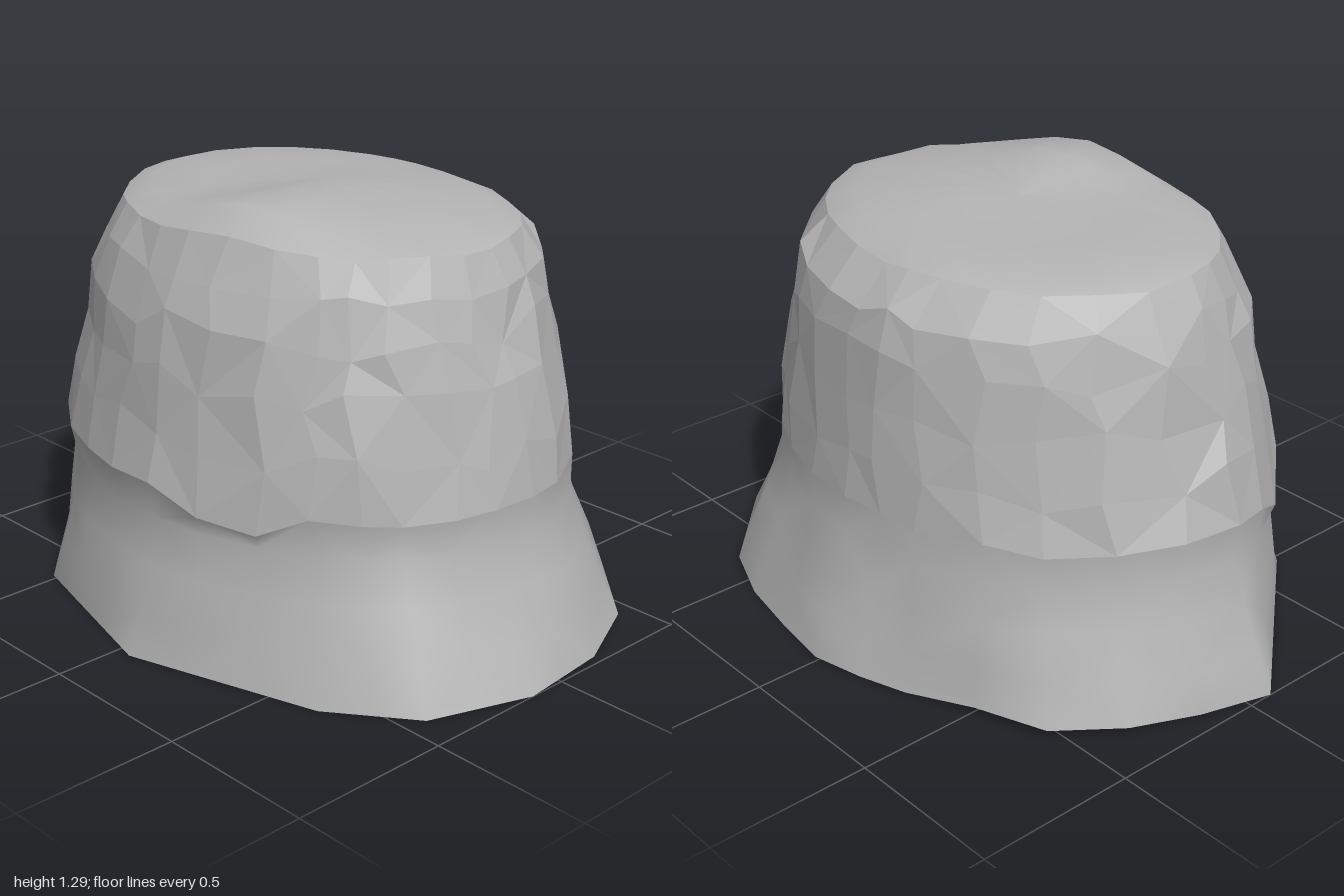
import * as THREE from 'three';

// Corners of the brim edge (x, z), from the back round by the left side
const EDGE = [[0, -0.8], [0.43, -0.72], [0.6, -0.66], [0.88, -0.4], [0.97, -0.18], [1, 0.12], [0.89, 0.43],
  [0.65, 0.61], [0.05, 0.79], [-0.52, 0.64], [-1, 0.08], [-0.87, -0.36], [-0.73, -0.54], [-0.3, -0.7]];

// Crown rings: height, reach to -x, +x, front, back, and jitter
const RINGS = [
  [0.4, 0.85, 0.84, 0.67, 0.67, 0],
  [0.51, 0.86, 0.845, 0.695, 0.66, 0.3],
  [0.66, 0.815, 0.825, 0.665, 0.65, 1],
  [0.83, 0.765, 0.78, 0.64, 0.635, 1],
  [0.98, 0.735, 0.745, 0.62, 0.62, 1],
  [1.1, 0.695, 0.715, 0.575, 0.6, 0.6],
  [1.2, 0.645, 0.67, 0.515, 0.495, 0.2],
  [1.235, 0.56, 0.56, 0.43, 0.42, 0],
  [1.24, 0.37, 0.37, 0.29, 0.28, 0],
  [1.245, 0.18, 0.18, 0.14, 0.14, 0],
  [1.245, 0, 0, 0, 0, 0],
];

// Angles where the hem of the crown hangs over the brim
const FLAPS = [1.17, 2.67];

function makeRandom(seed) {
  return () => {
    seed = (seed * 16807) % 2147483647;
    return seed / 1073741823.5 - 1;
  };
}

// Soft ridge in the top of the crown, highest at the front
function ridge(x, z) {
  return 0.06 * Math.exp(-((x - 0.16) ** 2) / 0.05) * THREE.MathUtils.clamp((z + 0.4) / 0.7, 0, 1);
}

function buildRows() {
  // Brim edge with its long sides divided
  const edge = [];
  EDGE.forEach(([x, z], i) => {
    const [nx, nz] = EDGE[(i + 1) % EDGE.length];
    const n = Math.ceil(Math.hypot(nx - x, nz - z) / 0.24);
    for (let k = 0; k < n; k++) {
      const px = x + (nx - x) * k / n, pz = z + (nz - z) * k / n;
      edge.push(new THREE.Vector3(px, pz < -0.3 && pz > -0.7 ? 0.03 : 0.005, pz));
    }
  });
  edge[0].y = 0.02;

  const random = makeRandom(77);
  const crown = RINGS.map(([y, left, right, front, back, rough], j) => edge.map((p) => {
    const t = Math.atan2(p.z / 0.79, p.x) + 0.05 * rough * random();
    const r = 1 + 0.011 * rough * random();
    const x = Math.cos(t) * (Math.cos(t) < 0 ? left : right) * r;
    const z = Math.sin(t) * (Math.sin(t) > 0 ? front : back) * r;
    const lift = y > 1.22 ? ridge(x, z) : y > 1.15 ? ridge(x, z) * 0.4 : 0;
    const drop = j === 1 ? FLAPS.reduce((s, f) => s + 0.13 * Math.exp(-(((t - f) / 0.13) ** 2)), 0) : 0;
    return new THREE.Vector3(x, y + 0.04 * rough * random() + lift - drop, z);
  }));

  // Lower brim rows run from the edge to the crown with slight folds
  const brim = [0.33, 0.67].map((f) => edge.map((p, i) => {
    const q = p.clone().lerp(crown[0][i], f);
    const fold = 1 + 0.012 * Math.cos(9 * Math.atan2(q.z, q.x) + 1.5);
    return q.set(q.x * fold, q.y, q.z * fold);
  }));
  return [edge, ...brim, ...crown];
}

// Joins rows of points into a closed band
function loft(rows, flat) {
  const n = rows[0].length, index = [];
  for (let j = 0; j < rows.length - 1; j++) {
    for (let i = 0; i < n; i++) {
      const a = j * n + i, b = j * n + (i + 1) % n, c = a + n, d = b + n;
      if ((i + j) % 2) index.push(b, a, c, b, c, d);
      else index.push(b, a, d, a, c, d);
    }
  }
  let geometry = new THREE.BufferGeometry().setFromPoints(rows.flat());
  geometry.setIndex(index);
  if (flat) geometry = geometry.toNonIndexed();
  geometry.computeVertexNormals();
  return geometry;
}

export function createModel() {
  const group = new THREE.Group();
  group.name = 'bucketHat';
  const cloth = new THREE.MeshStandardMaterial({ color: 0xb4b4b4, side: THREE.DoubleSide });
  cloth.name = 'greyCloth';

  const rows = buildRows();
  const add = (name, from, to, flat) => {
    const mesh = new THREE.Mesh(loft(rows.slice(from, to + 1), flat), cloth);
    mesh.name = name;
    group.add(mesh);
  };
  add('brim', 0, 4, false);
  add('crownSide', 4, 9, true);
  add('crownTop', 9, rows.length - 1, false);
  return group;
}
